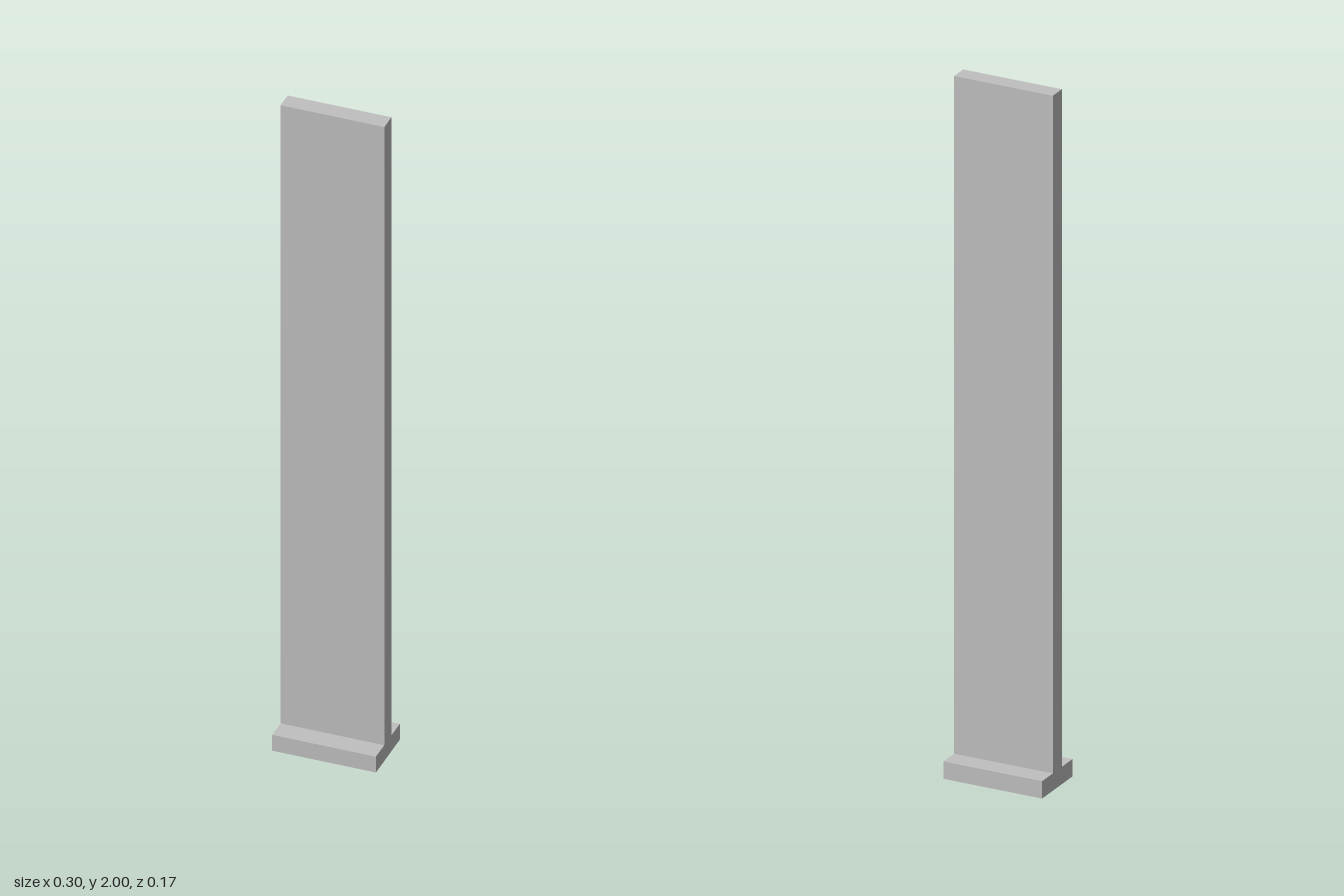
import * as THREE from 'three';

const HALF_X = 0.148;   // half width of panel and foot
const HALF_Z = 0.087;   // half depth of foot
const PANEL_Z = 0.026;  // half thickness of panel
const FOOT_TOP = 0.05;
const POCKET = 0.025;   // depth of the pocket under the foot

function rectPoints(hx, hy) {
  return [[-hx, -hy], [hx, -hy], [hx, hy], [-hx, hy]].map(([x, y]) => new THREE.Vector2(x, y));
}

export function createModel() {
  const group = new THREE.Group();
  const grey = new THREE.MeshStandardMaterial({ color: 0xc0c0c0 });
  grey.name = 'light grey';

  // Upright panel and the upper half of its foot: an inverted T swept along x
  const half = [[HALF_Z, POCKET], [HALF_Z, FOOT_TOP], [PANEL_Z, FOOT_TOP], [PANEL_Z, 2]];
  const profile = [...half, ...half.map(([z, y]) => [-z, y]).reverse()];
  const tShape = new THREE.Shape(profile.map(([z, y]) => new THREE.Vector2(z, y)));
  const tGeometry = new THREE.ExtrudeGeometry(tShape, { depth: 2 * HALF_X, bevelEnabled: false });
  tGeometry.translate(0, 0, -HALF_X).rotateY(Math.PI / 2);
  const panel = new THREE.Mesh(tGeometry, grey);
  panel.name = 'uprightPanel';
  group.add(panel);

  // Lower rim of the foot, leaving a shallow pocket open underneath
  const rimShape = new THREE.Shape(rectPoints(HALF_X, HALF_Z));
  rimShape.holes.push(new THREE.Path(rectPoints(0.12, 0.042).reverse()));
  const rimGeometry = new THREE.ExtrudeGeometry(rimShape, { depth: POCKET, bevelEnabled: false });
  rimGeometry.rotateX(-Math.PI / 2);
  const rim = new THREE.Mesh(rimGeometry, grey);
  rim.name = 'footRim';
  group.add(rim);

  return group;
}
